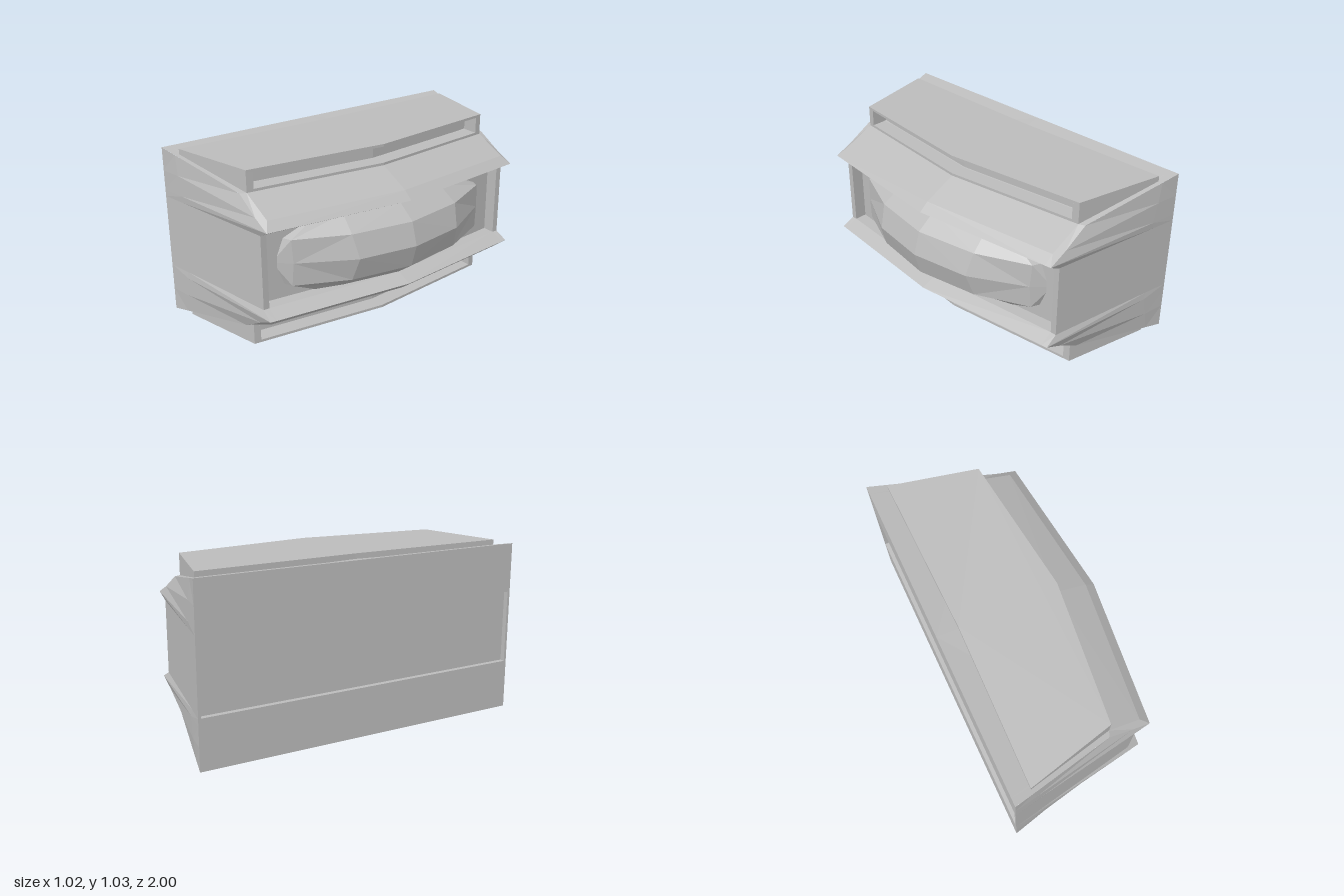
import * as THREE from 'three';
import { mergeGeometries } from 'three/addons/utils/BufferGeometryUtils.js';

const MID = 0.515; // height of the mirror plane

// Flat-faced grid through rows of points, ordered top to bottom.
function grid(rows) {
  const out = [];
  for (let r = 0; r < rows.length - 1; r++) {
    for (let c = 0; c < rows[r].length - 1; c++) {
      const [a, b, d, e] = [rows[r][c], rows[r][c + 1], rows[r + 1][c + 1], rows[r + 1][c]];
      out.push(...a, ...e, ...d, ...a, ...d, ...b);
    }
  }
  const pos = new Float32Array(out.length);
  for (let i = 0; i < out.length; i += 9) {
    // reverse so faces point outward
    pos.set(out.slice(i, i + 3), i);
    pos.set(out.slice(i + 6, i + 9), i + 3);
    pos.set(out.slice(i + 3, i + 6), i + 6);
  }
  const g = new THREE.BufferGeometry();
  g.setAttribute('position', new THREE.BufferAttribute(pos, 3));
  return g;
}

// Copy of a triangle soup mirrored in y and/or z, with winding kept outward.
function mirrored(geo, my, mz) {
  const g = geo.clone();
  const p = g.attributes.position;
  for (let i = 0; i < p.count; i++) {
    if (my) p.setY(i, 2 * MID - p.getY(i));
    if (mz) p.setZ(i, -p.getZ(i));
  }
  if (my !== mz) {
    for (let i = 0; i < p.count; i += 3) {
      const b = [p.getX(i + 1), p.getY(i + 1), p.getZ(i + 1)];
      p.setXYZ(i + 1, p.getX(i + 2), p.getY(i + 2), p.getZ(i + 2));
      p.setXYZ(i + 2, ...b);
    }
  }
  return g;
}

// Four mirrored quarters merged into one flat-shaded geometry.
function fourFold(grids) {
  const quarter = mergeGeometries(grids.map(grid));
  const g = mergeGeometries([[false, false], [true, false], [false, true], [true, true]]
    .map(([my, mz]) => mirrored(quarter, my, mz)));
  g.computeVertexNormals();
  return g;
}

export function createModel() {
  const model = new THREE.Group();
  const grey = new THREE.MeshStandardMaterial({ color: 0xbcbcbc });
  grey.name = 'plain grey';
  grey.flatShading = true;

  const add = (name, geo) => {
    const m = new THREE.Mesh(geo, grey);
    m.name = name;
    model.add(m);
    return m;
  };

  // Corner points of the end of the lip, front to back
  const F1 = [0.1, 0.905, 0.865], F2 = [0.25, 0.82, 0.865];
  const F3 = [0.36, 0.77, 0.865], F4 = [0.285, 0.73, 0.86];
  const rear = (y, z = 1) => [-0.51, y, z];

  // Sloping roof, projecting lip and the ceiling below it
  const roofAndLip = [
    [rear(1.02, 0), rear(1.02, 0.95), rear(1.02)],
    [[0.21, 0.905, 0], [0.115, 0.905, 0.83], F1],
    [[0.4, 0.815, 0], [0.31, 0.815, 0.83], F2],
    [[0.455, 0.77, 0], [0.364, 0.77, 0.83], F3],
    [[0.365, 0.73, 0], [0.285, 0.73, 0.825], F4],
  ];
  const ceiling = [
    [[0.365, 0.73, 0], [0.285, 0.73, 0.825]],
    [[0.3, 0.73, 0], [0.21, 0.73, 0.825]],
  ];
  // End wall with the tapering lip flank
  const endWall = [
    [F1, [-0.4, 0.999, 0.976], rear(1.02)],
    [F2, [-0.378, 0.885, 0.979], rear(0.885)],
    [F3, [-0.355, 0.77, 0.976], rear(0.77)],
    [F4, [-0.365, 0.73, 0.974], rear(0.73)],
    [[0.285, MID, 0.86], [-0.365, MID, 0.974], rear(MID)],
  ];
  // Upright strips that run from under the lip to mid height
  const strip = (a, b) => [0.73, MID].map(y => [a, b].map(([x, z]) => [x, y, z]));
  const frontPost = strip([0.285, 0.825], [0.285, 0.86]);
  const postInside = strip([0.21, 0.825], [0.285, 0.825]);
  const recessFloor = strip([0.3, 0], [0.21, 0.825]);
  // Back wall with its shallow inset panel
  const backWall = [[rear(1.02), rear(1.02, 0)], [rear(0.73), rear(0.73, 0)]];
  const backBorder = strip([-0.51, 1], [-0.51, 0.985]);
  const insetEnd = strip([-0.51, 0.985], [-0.48, 0.985]);
  const insetPanel = [
    [rear(0.73, 0.985), rear(0.73, 0)],
    [[-0.48, 0.73, 0.985], [-0.48, 0.73, 0]],
    [[-0.48, MID, 0.985], [-0.48, MID, 0]],
  ];
  add('housing', fourFold([roofAndLip, ceiling, endWall, frontPost, postInside,
    recessFloor, backWall, backBorder, insetEnd, insetPanel]));

  // Faceted bulge in the front opening
  add('frontBulge', fourFold([[
    [[0.36, 0.73, 0], [0.3, 0.73, 0.35], [0.25, 0.73, 0.51], [0.2, 0.73, 0.56]],
    [[0.47, 0.65, 0], [0.41, 0.65, 0.37], [0.275, 0.65, 0.67], [0.2, 0.65, 0.7]],
    [[0.51, MID, 0], [0.455, MID, 0.35], [0.285, MID, 0.665], [0.2, MID, 0.75]],
  ]]));

  // Slabs above and below, each two sheets around a set-back core
  const slab = (name, half, y0, y1) => {
    const back = half.slice().reverse().filter(p => p[1] > 0);
    const outline = [...half, ...back.map(([x, z]) => [x, -z])];
    const shape = new THREE.Shape(outline.map(([x, z]) => new THREE.Vector2(x, z)));
    const geo = new THREE.ExtrudeGeometry(shape, { depth: y1 - y0, bevelEnabled: false });
    geo.rotateX(-Math.PI / 2);
    add(name, geo).position.y = y0;
  };
  const sheet = [[-0.38, 0], [-0.4, 0.95], [0.115, 0.83], [0.21, 0]];
  const core = [[-0.38, 0], [-0.4, 0.95], [0.115, 0.83], [0.12, 0.79], [0.02, 0.79], [0.11, 0]];
  for (const [side, y] of [['lower', 0], ['upper', 0.905]]) {
    slab(side + 'SlabBottomSheet', sheet, y, y + 0.015);
    slab(side + 'SlabCore', core, y + 0.015, y + 0.11);
    slab(side + 'SlabTopSheet', sheet, y + 0.11, y + 0.125);
  }
  return model;
}
